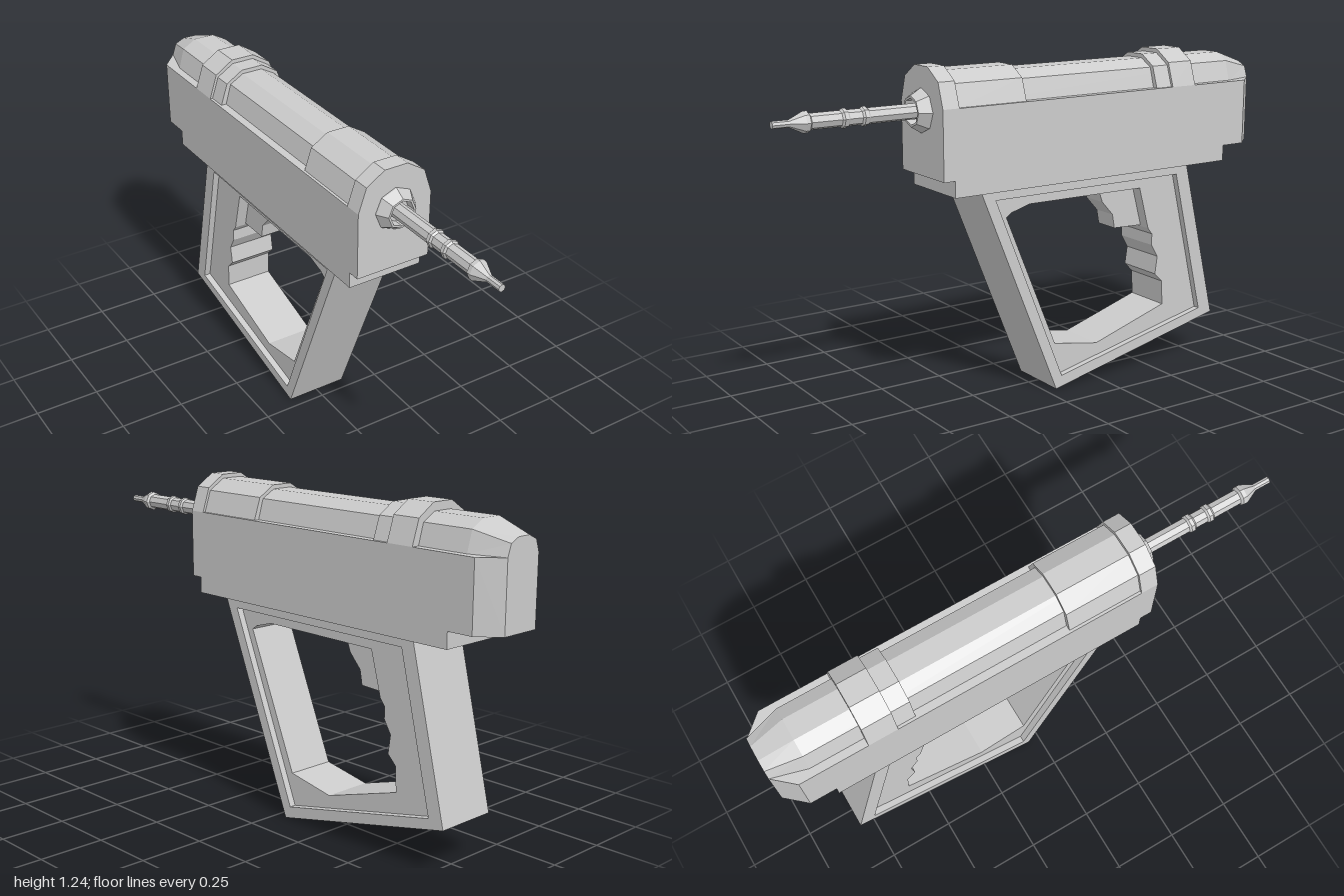
import * as THREE from 'three';

const material = new THREE.MeshStandardMaterial({ color: 0xcccccc, flatShading: true });
const shapeOf = (pts) => new THREE.Shape(pts.map(([a, b]) => new THREE.Vector2(a, b)));

function part(name, geometry) {
  const mesh = new THREE.Mesh(geometry, material);
  mesh.name = name;
  return mesh;
}

// Side profile given as [z, y], extruded across x and centred
function sideExtrude(pts, halfWidth, hole) {
  const flip = (list) => list.map(([z, y]) => [-z, y]);
  const shape = shapeOf(flip(pts));
  if (hole) shape.holes.push(shapeOf(flip(hole)));
  const g = new THREE.ExtrudeGeometry(shape, { depth: halfWidth * 2, bevelEnabled: false });
  return g.translate(0, 0, -halfWidth).rotateY(Math.PI / 2);
}

// Plan outline given as a right half [x, z], mirrored and extruded upward
function planExtrude(half, y0, y1) {
  const right = half.map(([x, z]) => [x, -z]);
  const left = [...right].reverse().map(([x, s]) => [-x, s]);
  const g = new THREE.ExtrudeGeometry(shapeOf([...right, ...left]), { depth: y1 - y0, bevelEnabled: false });
  return g.rotateX(-Math.PI / 2).translate(0, y0, 0);
}

// Faceted arch on the body top, running from z0 (rear) to z1 (front)
const DECK = 1.11;
function arch(half, z0, z1) {
  const left = [...half].reverse().map(([x, y]) => [-x, y]);
  const g = new THREE.ExtrudeGeometry(shapeOf([...half, ...left]), { depth: z1 - z0, bevelEnabled: false });
  return g.translate(0, 0, z0);
}

export function createModel() {
  const model = new THREE.Group();
  model.name = 'pistolTool';

  // Housing with a chamfered rear, and the slab below it
  model.add(part('housing', planExtrude([[0.145, 0.445], [0.145, -0.925], [0.078, -1]].reverse(), 0.86, DECK)));
  model.add(part('underSlab', planExtrude([[0.145, -0.825], [0.145, 0.4]], 0.8, 0.86)));

  // Arched top cover and its raised bands
  const low = [[0.115, DECK], [0.093, 1.185], [0.04, 1.215]];
  const mid = [[0.135, DECK], [0.108, 1.19], [0.043, 1.23]];
  const high = [[0.145, DECK], [0.115, 1.2], [0.045, 1.245]];
  model.add(part('topCover', arch(low, -0.87, 0.4)));
  model.add(part('frontCover', arch(mid, 0.1, 0.38)));
  model.add(part('frontCollar', arch(high, 0.38, 0.445)));
  model.add(part('rearBandFront', arch(mid, -0.56, -0.49)));
  model.add(part('rearBand', arch(high, -0.67, -0.56)));

  // Tapered rear end of the cover
  const tail = arch(low, -1, -0.87);
  const p = tail.attributes.position;
  for (let i = 0; i < p.count; i++) {
    if (p.getZ(i) < -0.95) p.setXY(i, p.getX(i) * 0.68, DECK + (p.getY(i) - DECK) * 0.57);
  }
  tail.computeVertexNormals();
  model.add(part('coverTail', tail));

  // Nozzle socket, rod, rings and tip in one turned profile
  const rod = [
    [0.078, 0.44], [0.078, 0.45], [0.055, 0.488], [0.047, 0.488], [0.047, 0.45], [0.028, 0.45],
    [0.028, 0.655], [0.034, 0.662], [0.034, 0.675], [0.028, 0.682],
    [0.028, 0.73], [0.034, 0.737], [0.034, 0.75], [0.028, 0.757],
    [0.028, 0.868], [0.037, 0.875], [0.037, 0.89], [0.013, 0.94], [0.013, 1], [0, 1],
  ];
  const nozzle = new THREE.LatheGeometry(rod.map(([r, y]) => new THREE.Vector2(r, y)), 8);
  model.add(part('nozzle', nozzle.rotateX(Math.PI / 2).translate(0, 1.09, 0)));

  // Grip: raised outer rim around a recessed panel with the hand opening
  const grip = new THREE.Group();
  grip.name = 'grip';
  const outer = [[0.28, 0.8], [-0.045, 0.003], [-0.81, 0.175], [-0.66, 0.8]];
  const inner = [[0.22, 0.765], [-0.07, 0.052], [-0.745, 0.2], [-0.61, 0.765]];
  const opening = [
    [0.16, 0.69], [0.14, 0.705], [0.06, 0.728], [-0.45, 0.725], [-0.495, 0.56], [-0.515, 0.535],
    [-0.515, 0.49], [-0.545, 0.44], [-0.535, 0.37], [-0.57, 0.335], [-0.575, 0.24], [-0.25, 0.14],
    [-0.055, 0.175],
  ];
  grip.add(part('gripRim', sideExtrude(outer, 0.12, inner)));
  grip.add(part('gripPanel', sideExtrude(inner, 0.095, opening)));
  model.add(grip);

  // Trigger
  const trigger = [
    [-0.285, 0.735], [-0.305, 0.68], [-0.355, 0.625], [-0.365, 0.57], [-0.505, 0.565], [-0.46, 0.735],
  ];
  model.add(part('trigger', sideExtrude(trigger, 0.05)));

  return model;
}
